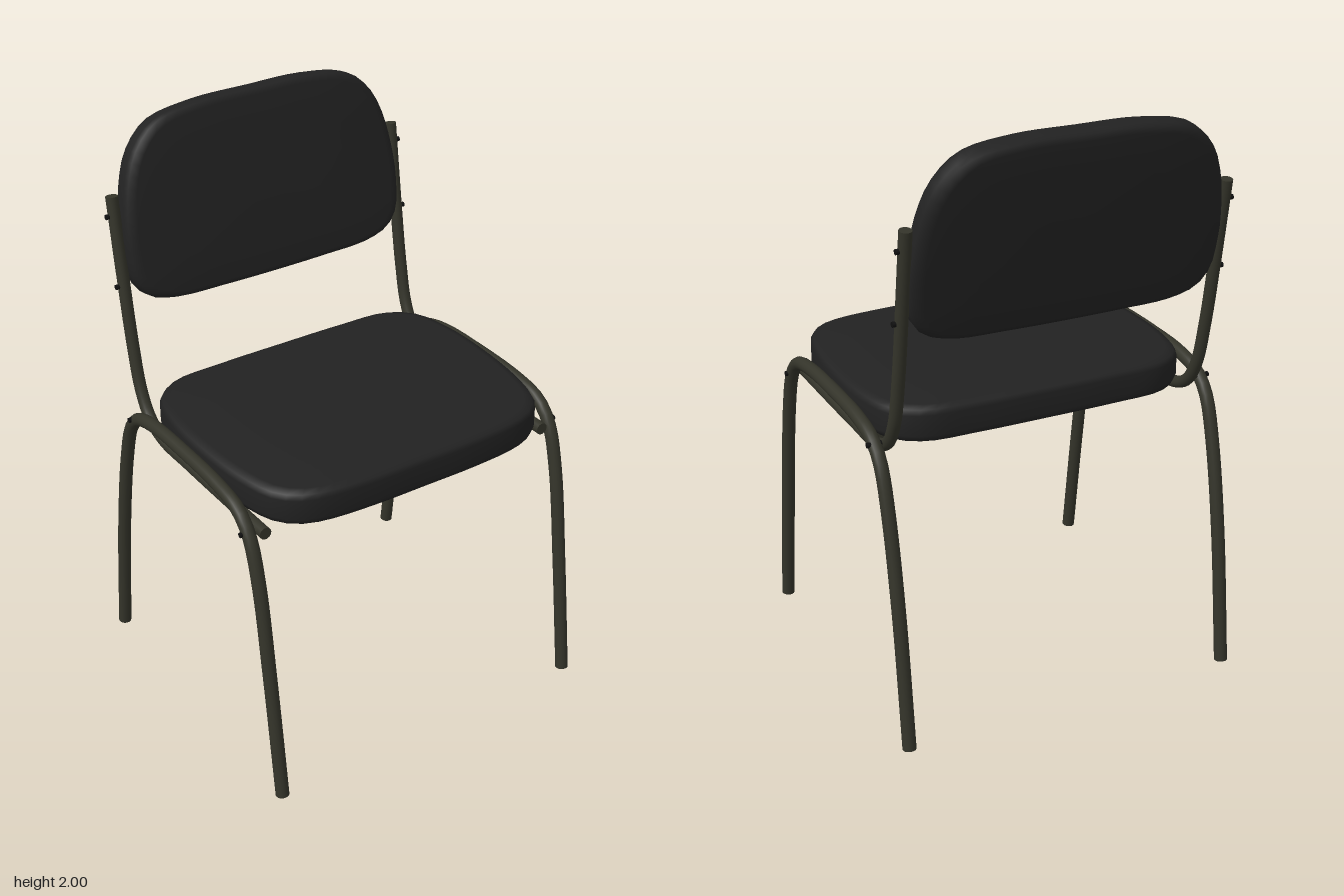
import * as THREE from 'three';

const cushionMat = new THREE.MeshStandardMaterial({ color: 0x222222 });
cushionMat.name = 'black upholstery';
const metalMat = new THREE.MeshStandardMaterial({ color: 0x34342a });
metalMat.name = 'dark olive metal';
const boltMat = new THREE.MeshStandardMaterial({ color: 0x101010 });
boltMat.name = 'black bolts';

function addMesh(parent, name, geometry, material) {
  const mesh = new THREE.Mesh(geometry, material);
  mesh.name = name;
  parent.add(mesh);
  return mesh;
}

// Padded slab: a mirrored outline in x/z, stacked in rings of [scale, height]
function cushionGeometry(half, layers) {
  const mirrored = half.slice(1, -1).reverse().map(([x, z]) => [-x, z]);
  const points = [...half, ...mirrored].map(([x, z]) => new THREE.Vector3(x, 0, z));
  const n = 72;
  const ring = new THREE.CatmullRomCurve3(points, true).getSpacedPoints(n).slice(0, n);
  const cz = (half[0][1] + half[half.length - 1][1]) / 2;
  const pos = [], index = [];
  layers.forEach(([s, h], k) => {
    ring.forEach((p, i) => {
      pos.push(p.x * s, h, cz + (p.z - cz) * s);
      if (k === layers.length - 1) return;
      const a = k * n + i, b = k * n + (i + 1) % n;
      index.push(a, a + n, b, b, a + n, b + n);
    });
  });
  const g = new THREE.BufferGeometry();
  g.setAttribute('position', new THREE.Float32BufferAttribute(pos, 3));
  g.setIndex(index);
  g.computeVertexNormals();
  return g;
}

// Bent tube in the plane of constant x, with closed ends; points are [z, y]
function addTube(parent, name, x, path, radius) {
  const curve = new THREE.CatmullRomCurve3(path.map(([z, y]) => new THREE.Vector3(x, y, z)));
  const tube = new THREE.Group();
  tube.name = name;
  parent.add(tube);
  addMesh(tube, name + 'Pipe', new THREE.TubeGeometry(curve, 72, radius, 14), metalMat);
  for (const t of [0, 1]) {
    const cap = addMesh(tube, name + 'EndCap', new THREE.CircleGeometry(radius, 14), metalMat);
    const outward = curve.getTangent(t).multiplyScalar(t ? 1 : -1);
    cap.position.copy(curve.getPoint(t));
    cap.quaternion.setFromUnitVectors(new THREE.Vector3(0, 0, 1), outward);
  }
}

export function createModel() {
  const chair = new THREE.Group();
  chair.name = 'chair';

  // Seat cushion
  addMesh(chair, 'seat', cushionGeometry(
    [[0, -0.367], [0.25, -0.365], [0.44, -0.35], [0.53, -0.28], [0.567, -0.15], [0.577, 0.03],
      [0.557, 0.28], [0.515, 0.42], [0.45, 0.48], [0.37, 0.505], [0.2, 0.519], [0, 0.52]],
    [[0, 0.97], [0.6, 0.97], [0.93, 0.973], [0.985, 0.985], [1, 1.005], [1, 1.075],
      [0.985, 1.092], [0.94, 1.101], [0.6, 1.108], [0, 1.11]]), cushionMat);

  // Backrest cushion, leaning backward
  const back = addMesh(chair, 'backrest', cushionGeometry(
    [[0, -0.32], [0.22, -0.317], [0.385, -0.285], [0.465, -0.21], [0.505, -0.12], [0.533, 0.04],
      [0.535, 0.13], [0.522, 0.23], [0.48, 0.285], [0.39, 0.315], [0.2, 0.323], [0, 0.325]],
    [[0, -0.05], [0.6, -0.05], [0.93, -0.047], [0.985, -0.036], [1, -0.02], [1, 0.02],
      [0.985, 0.036], [0.93, 0.047], [0.6, 0.05], [0, 0.05]]), cushionMat);
  back.rotation.x = Math.PI / 2 - 0.18;
  back.position.set(0, 1.68, -0.48);

  for (const [side, s] of [['left', 1], ['right', -1]]) {
    // Front and rear leg bent from one pipe
    addTube(chair, side + 'LegFrame', s * 0.596,
      [[0.57, 0.003], [0.51, 0.45], [0.455, 0.8], [0.405, 0.955], [0.34, 1.02], [0.22, 1.045],
        [0, 1.05], [-0.2, 1.04], [-0.31, 1.01], [-0.37, 0.95], [-0.422, 0.8], [-0.485, 0.48],
        [-0.545, 0.003]], 0.023);
    // Seat rail that bends up into the back post
    addTube(chair, side + 'BackPost', s * 0.549,
      [[0.425, 0.96], [0.2, 0.955], [-0.05, 0.952], [-0.23, 0.955], [-0.32, 0.995],
        [-0.375, 1.08], [-0.413, 1.23], [-0.45, 1.45], [-0.495, 1.75]], 0.021);
    // Bolts through the frame and the backrest
    for (const [x, y, z] of [[0.6, 0.965, 0.395], [0.6, 1.005, -0.33],
      [0.555, 1.445, -0.449], [0.555, 1.685, -0.486]]) {
      const bolt = addMesh(chair, side + 'Bolt',
        new THREE.CylinderGeometry(0.009, 0.009, 0.05, 10), boltMat);
      bolt.rotation.z = Math.PI / 2;
      bolt.position.set(s * x, y, z);
    }
  }

  // Cross bars under the seat, each with two screws
  for (const z of [0.25, -0.18]) {
    addMesh(chair, 'crossBar', new THREE.BoxGeometry(1.09, 0.02, 0.035), metalMat)
      .position.set(0, 0.958, z);
    for (const x of [-0.355, 0.355]) {
      addMesh(chair, 'seatScrew', new THREE.CylinderGeometry(0.01, 0.008, 0.012, 10), boltMat)
        .position.set(x, 0.945, z);
    }
  }
  return chair;
}
